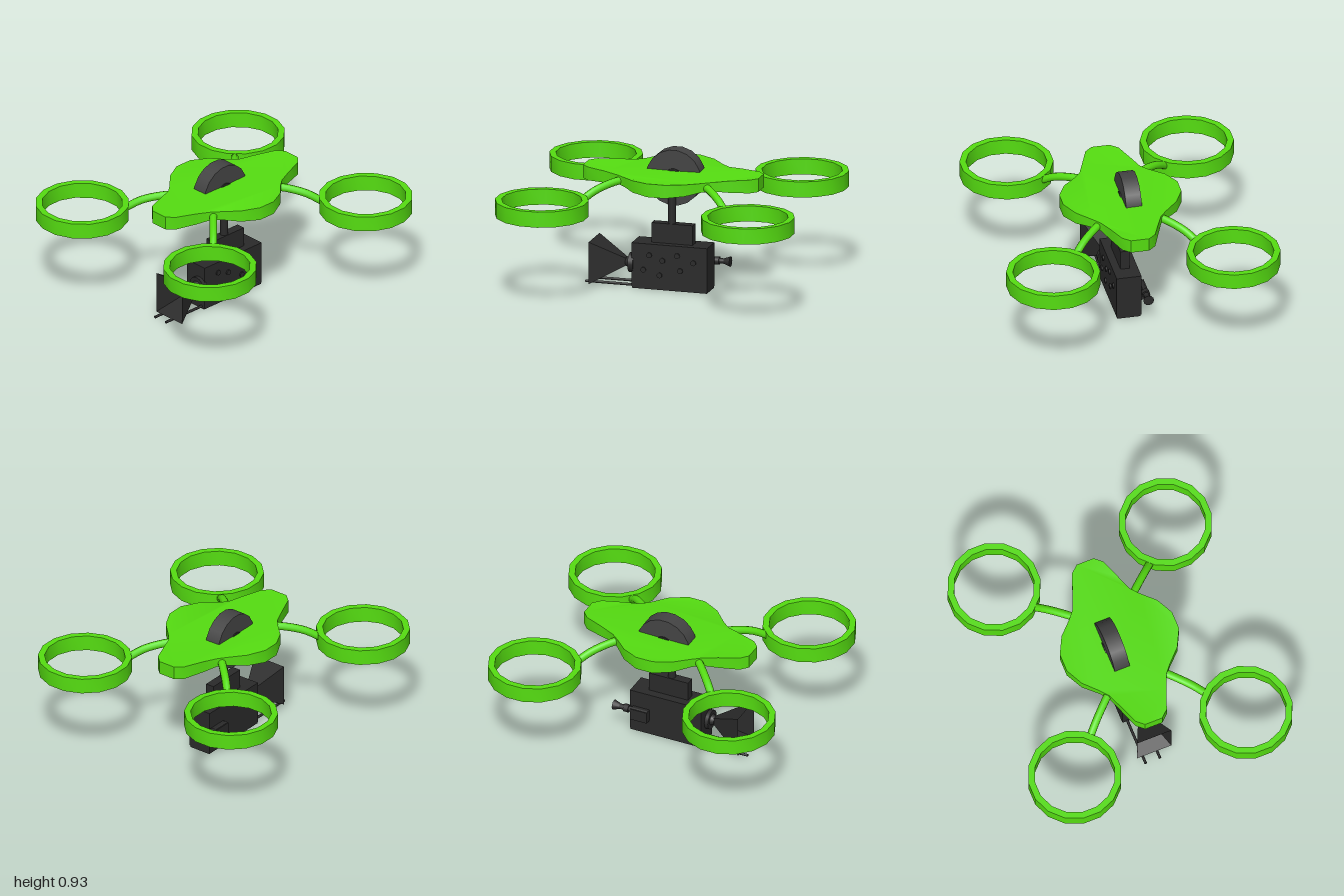
import * as THREE from 'three';
import { toCreasedNormals } from 'three/addons/utils/BufferGeometryUtils.js';

const green = new THREE.MeshStandardMaterial({ color: 0x55dd11 });
const dark = new THREE.MeshStandardMaterial({ color: 0x2a2a2a });
const grey = new THREE.MeshStandardMaterial({ color: 0x444444 });
const darkOpen = new THREE.MeshStandardMaterial({ color: 0x2a2a2a, side: THREE.DoubleSide });

function add(parent, name, geometry, material, x = 0, y = 0, z = 0) {
  const mesh = new THREE.Mesh(geometry, material);
  mesh.name = name;
  mesh.position.set(x, y, z);
  parent.add(mesh);
  return mesh;
}

// Box given by its extents on each axis
function box(parent, name, material, [x0, x1], [y0, y1], [z0, z1]) {
  return add(parent, name, new THREE.BoxGeometry(x1 - x0, y1 - y0, z1 - z0), material,
    (x0 + x1) / 2, (y0 + y1) / 2, (z0 + z1) / 2);
}

// Cylinder along z, from z0 (radius r0) to z1 (radius r1)
function rodZ(parent, name, x, y, z0, z1, r0, r1 = r0, sides = 12) {
  const g = new THREE.CylinderGeometry(r1, r0, z1 - z0, sides).rotateX(Math.PI / 2);
  return add(parent, name, g, dark, x, y, (z0 + z1) / 2);
}

// Flat plate lying in the xz plane, y from 0 to height
function plate(shape, height) {
  return new THREE.ExtrudeGeometry(shape, { depth: height, bevelEnabled: false }).rotateX(-Math.PI / 2);
}

function bodyGeometry() {
  const half = [[0.06, -0.605], [0.11, -0.56], [0.16, -0.43], [0.2, -0.33], [0.245, -0.275], [0.335, -0.185],
    [0.393, -0.07], [0.393, 0.05], [0.335, 0.165], [0.245, 0.255], [0.2, 0.31], [0.16, 0.41], [0.11, 0.54], [0.06, 0.585]];
  const points = [...half, ...half.slice().reverse().map(([x, z]) => [-x, z])];
  const g = plate(new THREE.Shape(points.map(([x, z]) => new THREE.Vector2(x, -z))), 0.09);
  // Thin the plate at the waist where the arms join
  const p = g.attributes.position;
  for (let i = 0; i < p.count; i++) {
    const waist = Math.exp(-(((Math.abs(p.getZ(i) + 0.01) - 0.3) / 0.12) ** 2));
    p.setY(i, p.getY(i) + (p.getY(i) > 0.04 ? -0.012 : 0.02) * waist);
  }
  return toCreasedNormals(g, 0.7);
}

function ringGeometry() {
  const circle = (r) => Array.from({ length: 16 }, (_, i) => {
    const a = ((i + 0.5) / 16) * Math.PI * 2;
    return new THREE.Vector2(Math.cos(a) * r, Math.sin(a) * r);
  });
  const shape = new THREE.Shape(circle(0.306));
  shape.holes.push(new THREE.Path(circle(0.263)));
  return toCreasedNormals(plate(shape, 0.105), 0.7);
}

export function createModel() {
  const model = new THREE.Group();
  model.name = 'cameraDrone';

  add(model, 'body', bodyGeometry(), green, 0, 0.71, 0);

  // Four rotor rings on curved arms
  const ring = ringGeometry();
  for (const sx of [-1, 1]) for (const sz of [-1, 1]) {
    const rotor = new THREE.Group();
    rotor.name = (sz > 0 ? 'front' : 'back') + (sx > 0 ? 'Left' : 'Right') + 'Rotor';
    model.add(rotor);
    add(rotor, 'rotorRing', ring, green, sx * 0.6, 0.59, sz * 0.7);
    const path = new THREE.CatmullRomCurve3([[0.16, 0.76, 0.25], [0.25, 0.745, 0.335], [0.34, 0.71, 0.42], [0.41, 0.655, 0.49]]
      .map(([x, y, z]) => new THREE.Vector3(sx * x, y, sz * z)));
    add(rotor, 'arm', new THREE.TubeGeometry(path, 10, 0.026, 10), green);
  }

  // Wheel set upright through the body
  const disc = new THREE.CylinderGeometry(0.187, 0.187, 0.105, 18).rotateZ(Math.PI / 2);
  add(model, 'wheel', disc, grey, -0.052, 0.742, -0.01);
  add(model, 'wheelHub', new THREE.CylinderGeometry(0.06, 0.06, 0.12, 14).rotateZ(Math.PI / 2), dark, -0.052, 0.745, -0.01);

  // Pole hanging from a collar
  add(model, 'poleCollar', new THREE.CylinderGeometry(0.07, 0.03, 0.06, 16), green, 0, 0.695, 0);
  add(model, 'pole', new THREE.CylinderGeometry(0.027, 0.027, 0.32, 14), dark, 0, 0.57, 0);

  // Camera
  const camera = new THREE.Group();
  camera.name = 'camera';
  model.add(camera);
  box(camera, 'filmMagazine', dark, [-0.03, 0.03], [0.3, 0.437], [-0.15, 0.13]);
  box(camera, 'cameraBody', dark, [-0.085, 0.08], [0.012, 0.305], [-0.262, 0.25]);
  box(camera, 'basePlate', dark, [-0.08, 0.075], [0, 0.015], [-0.26, 0.25]);
  for (const x of [-0.05, 0.05]) rodZ(camera, 'supportRod', x, 0.015, 0.2, 0.572, 0.009, 0.009, 8);

  // Lens and square hood, open to the front
  rodZ(camera, 'lensMount', 0.03, 0.16, 0.24, 0.275, 0.066, 0.066, 16);
  rodZ(camera, 'lensBarrel', 0.03, 0.162, 0.27, 0.3, 0.04, 0.03, 16);
  const hood = new THREE.CylinderGeometry(0.2, 0.028, 0.232, 4, 1, true).rotateY(Math.PI / 4)
    .rotateX(Math.PI / 2).scale(0.85, 1, 1);
  add(camera, 'lensHood', toCreasedNormals(hood, 0.3), darkOpen, 0.03, 0.163, 0.404);

  // Eyepiece on the right side, pointing back
  box(camera, 'eyepieceBracket', dark, [-0.13, -0.08], [0.11, 0.19], [-0.24, -0.12]);
  rodZ(camera, 'eyepieceTube', -0.11, 0.177, -0.33, -0.12, 0.018);
  rodZ(camera, 'eyepieceCollar', -0.11, 0.177, -0.29, -0.255, 0.027);
  rodZ(camera, 'eyecup', -0.11, 0.177, -0.365, -0.32, 0.035, 0.018);

  // Small knobs on the left side
  for (const [y, z] of [[0.23, 0.13], [0.13, 0.17], [0.2, 0.04], [0.1, 0.06], [0.24, -0.06], [0.14, -0.08], [0.2, -0.17]]) {
    add(camera, 'sideKnob', new THREE.CylinderGeometry(0.018, 0.018, 0.012, 12).rotateZ(Math.PI / 2), dark, 0.083, y, z);
  }
  return model;
}
